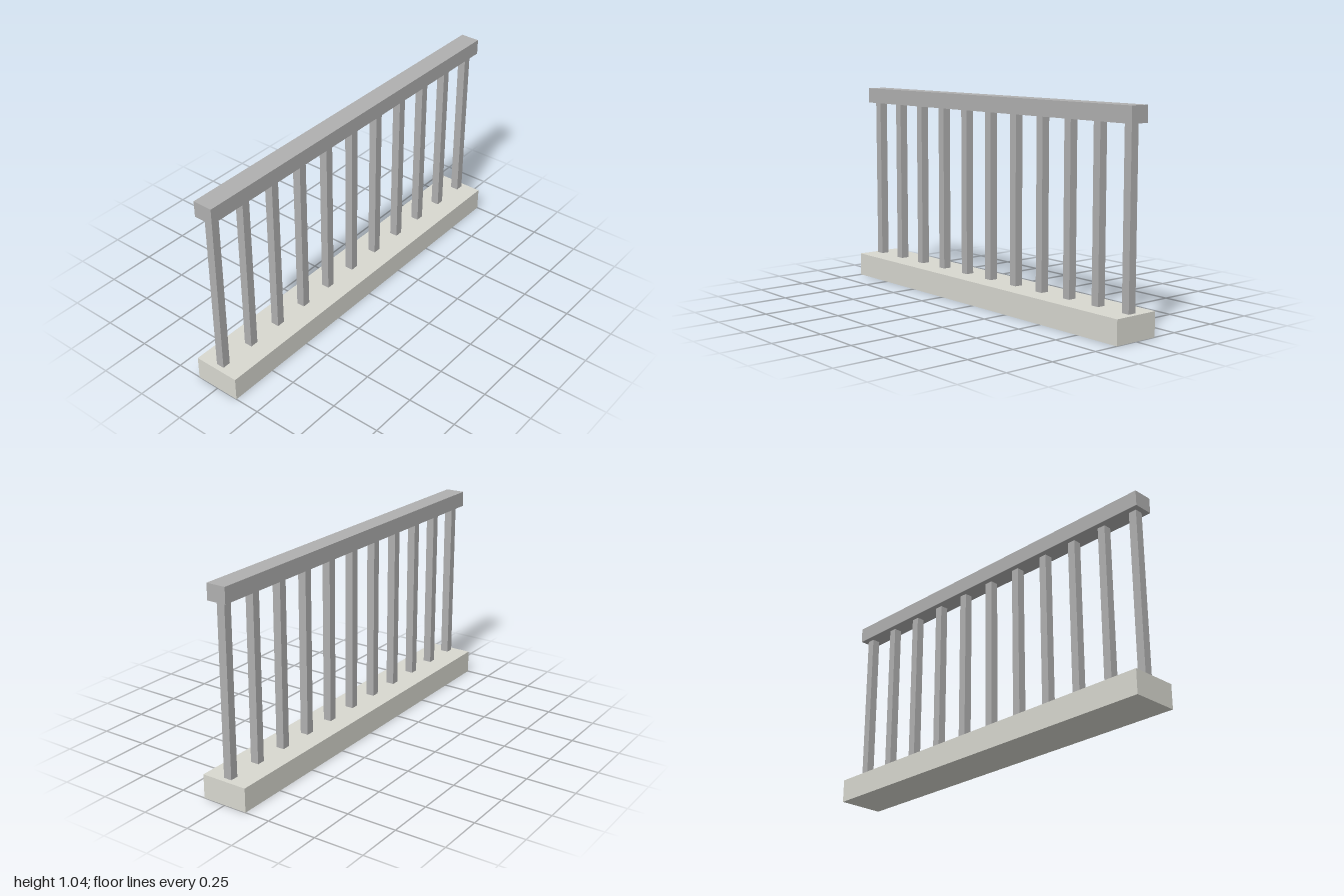
import * as THREE from 'three';

export function createModel() {
  const group = new THREE.Group();
  const metal = new THREE.MeshStandardMaterial({ color: 0xb0b0b0 });
  const stone = new THREE.MeshStandardMaterial({ color: 0xd8d8d0 });

  // Box given by its bottom and top heights
  function addBox(name, material, width, depth, bottom, top, x = 0) {
    const mesh = new THREE.Mesh(new THREE.BoxGeometry(width, top - bottom, depth), material);
    mesh.name = name;
    mesh.position.set(x, (bottom + top) / 2, 0);
    group.add(mesh);
  }

  const baseTop = 0.12;
  const railBottom = 0.963;

  // Plinth and handrail
  addBox('base', stone, 2, 0.24, 0, baseTop);
  addBox('handrail', metal, 2, 0.1, railBottom, 1.042);

  // Evenly spaced square balusters
  const count = 11;
  const span = 1.904;
  for (let i = 0; i < count; i++) {
    const x = -span / 2 + (span * i) / (count - 1);
    addBox(`baluster${i + 1}`, metal, 0.042, 0.042, baseTop, railBottom, x);
  }

  return group;
}
